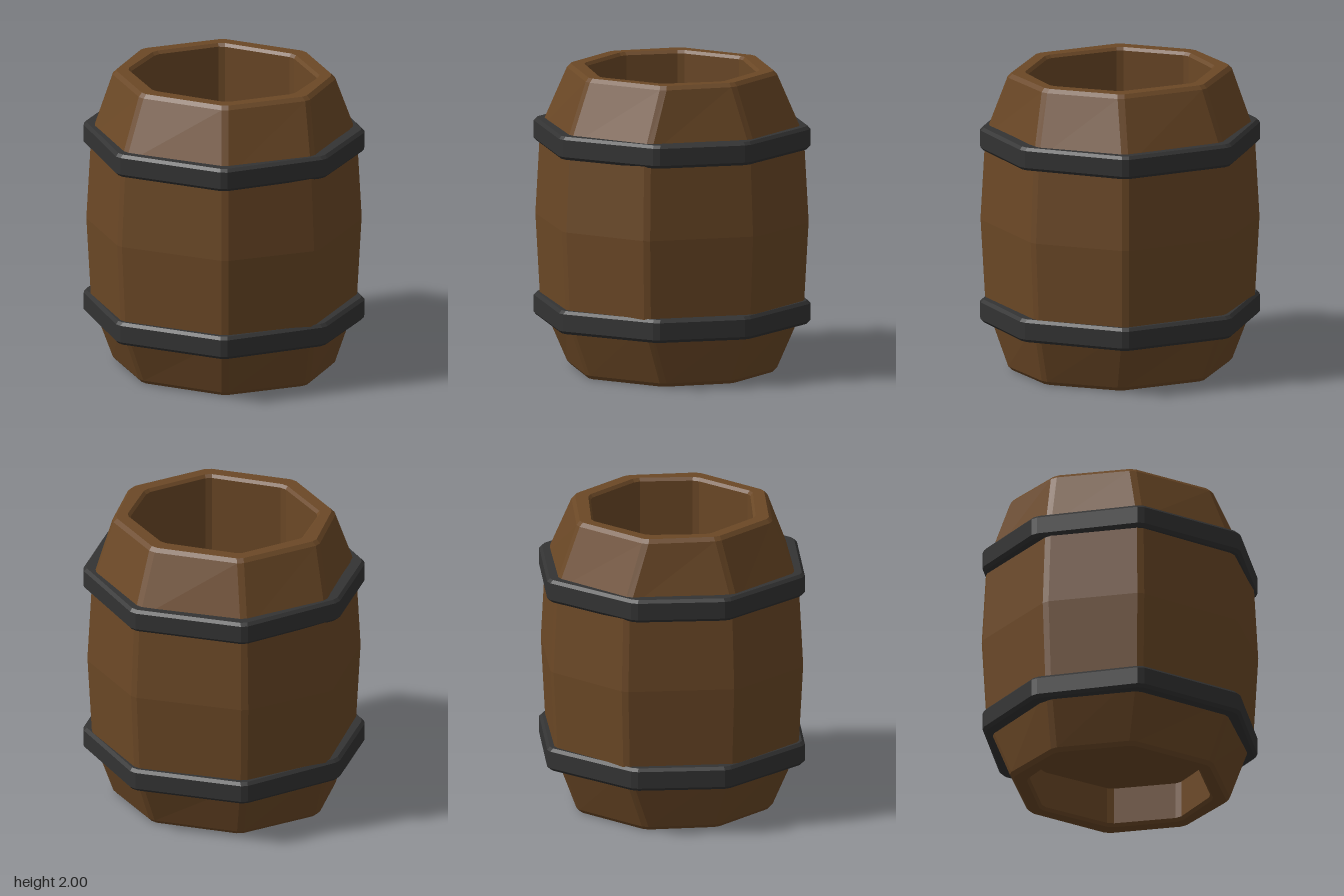
import * as THREE from 'three';

const wood = new THREE.MeshStandardMaterial({ color: 0x6b4826, flatShading: true });
const iron = new THREE.MeshStandardMaterial({ color: 0x333333, flatShading: true });

// Eight-sided outline from half its corners (the rest by half turn), each corner cut by a small bevel
function outline(half, bevel = 0.025) {
  const pts = [...half, ...half.map(([x, z]) => [-x, -z])].map(([x, z]) => new THREE.Vector2(x, z));
  const n = pts.length;
  return pts.flatMap((p, i) => [pts[(i + n - 1) % n], pts[(i + 1) % n]].map(
    (q) => p.clone().add(q.clone().sub(p).setLength(bevel))));
}

const belly = outline([[0.18, -0.89], [-0.46, -0.8], [-0.89, -0.19], [-0.8, 0.45]]);
const rim = outline([[0.14, -0.7], [-0.44, -0.61], [-0.71, -0.2], [-0.63, 0.33]]);
const mouth = outline([[0.11, -0.6], [-0.36, -0.52], [-0.605, -0.2], [-0.53, 0.27]]);
const band = outline([[0.19, -0.91], [-0.52, -0.77], [-0.89, -0.27], [-0.81, 0.455]]);

// Skin a list of cross-sections: [outline, scale, y]
function loft(rings) {
  const pos = [], idx = [], n = 16;
  for (const [shape, s, y] of rings) for (const p of shape) pos.push(p.x * s, y, p.y * s);
  for (let r = 0; r < rings.length - 1; r++) {
    for (let i = 0; i < n; i++) {
      const a = r * n + i, b = r * n + (i + 1) % n;
      if (rings[r][1] > 0) idx.push(a, b, b + n);
      if (rings[r + 1][1] > 0) idx.push(a, b + n, a + n);
    }
  }
  const g = new THREE.BufferGeometry();
  g.setAttribute('position', new THREE.Float32BufferAttribute(pos, 3));
  g.setIndex(idx);
  const flat = g.toNonIndexed();
  flat.computeVertexNormals();
  return flat;
}

function addPart(group, name, geometry, material) {
  const mesh = new THREE.Mesh(geometry, material);
  mesh.name = name;
  group.add(mesh);
}

export function createModel() {
  const model = new THREE.Group();
  model.name = 'barrel';

  // Staves: underside recess, bulging outside, rim, then the hollow inside down to the floor
  addPart(model, 'staves', loft([
    [mouth, 0, 0.27], [mouth, 0.97, 0.27], [mouth, 0.97, 0.02], [mouth, 1, 0],
    [rim, 0.965, 0], [rim, 1, 0.025],
    [belly, 0.965, 0.43], [belly, 1, 1], [belly, 0.965, 1.57],
    [rim, 1, 1.975], [rim, 0.965, 2],
    [mouth, 1, 2], [mouth, 0.97, 1.98], [mouth, 0.97, 0.34], [mouth, 0, 0.34],
  ]), wood);

  // Hoops: chamfered bands
  for (const [name, y] of [['lowerHoop', 0.4], ['upperHoop', 1.56]]) {
    const h = 0.077;
    addPart(model, name, loft([
      [band, 0.9, y - h], [band, 0.978, y - h], [band, 1, y - h + 0.02],
      [band, 1, y + h - 0.02], [band, 0.978, y + h], [band, 0.9, y + h], [band, 0.9, y - h],
    ]), iron);
  }
  return model;
}
